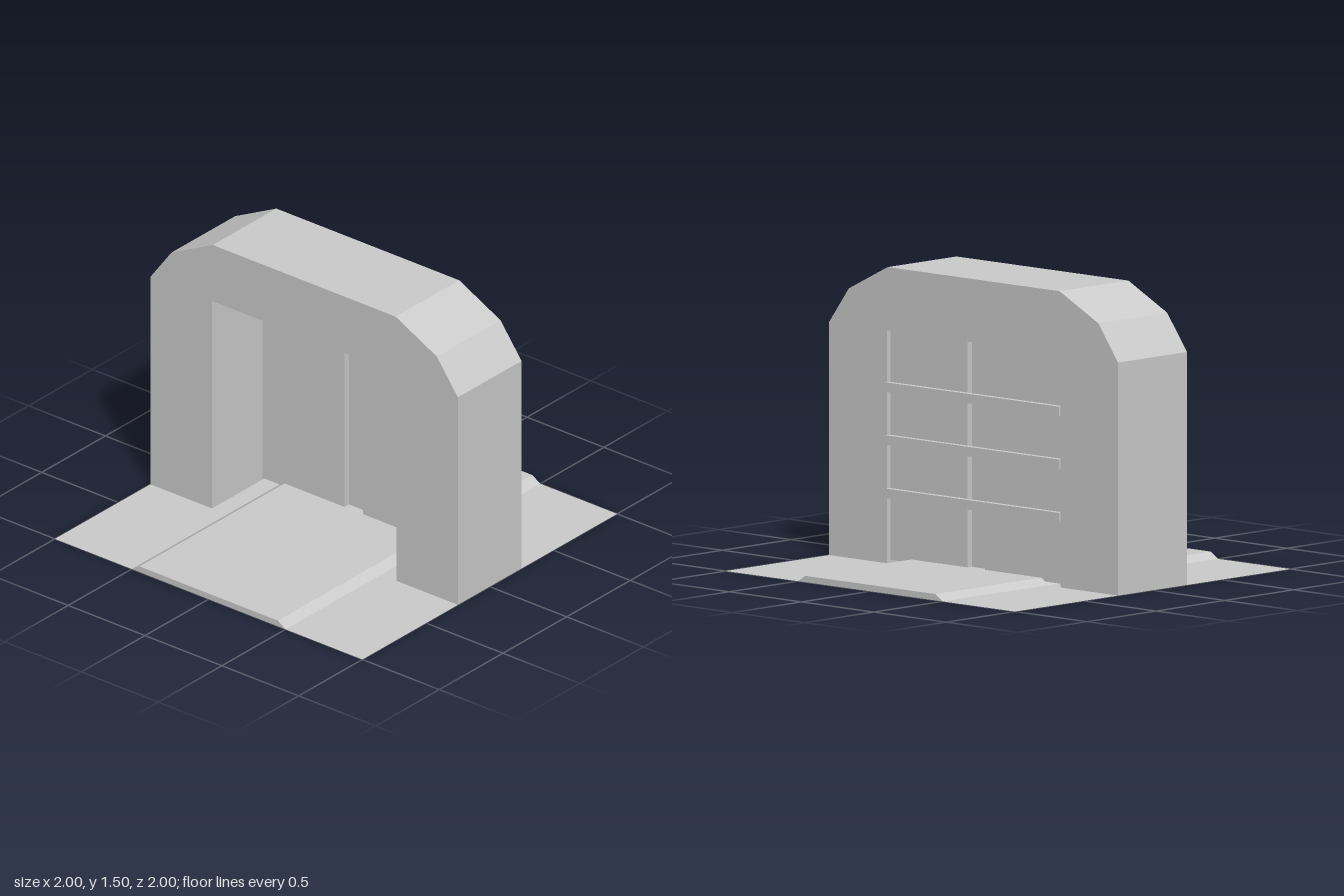
import * as THREE from 'three';

const material = new THREE.MeshStandardMaterial({ color: 0xcccccc, flatShading: true });
const sheetMaterial = new THREE.MeshStandardMaterial({ color: 0xcccccc, flatShading: true, side: THREE.DoubleSide });

export function createModel() {
  const model = new THREE.Group();
  model.name = 'gateway';

  const add = (name, geometry, mat = material) => {
    const mesh = new THREE.Mesh(geometry, mat);
    mesh.name = name;
    model.add(mesh);
    return mesh;
  };

  // Extrudes an x-y outline along z, centred on z = 0
  const extrude = (name, points, depth) => {
    const shape = new THREE.Shape(points.map(([x, y]) => new THREE.Vector2(x, y)));
    const geometry = new THREE.ExtrudeGeometry(shape, { depth, bevelEnabled: false });
    return add(name, geometry.translate(0, 0, -depth / 2));
  };

  // Box given by its lower and upper corners
  const box = (name, [x0, y0, z0], [x1, y1, z1]) => {
    const geometry = new THREE.BoxGeometry(x1 - x0, y1 - y0, z1 - z0);
    return add(name, geometry.translate((x0 + x1) / 2, (y0 + y1) / 2, (z0 + z1) / 2));
  };

  // Flat ground and the raised roadway with sloping sides
  add('ground', new THREE.PlaneGeometry(2, 2).rotateX(-Math.PI / 2), sheetMaterial);
  extrude('roadway', [[-0.5, 0], [0.5, 0], [0.45, 0.032], [-0.45, 0.032]], 2);

  // Thick wall with chamfered shoulders and a square opening
  const halfWall = [[0.6, 0], [1, 0], [1, 1.18], [0.863, 1.365], [0.595, 1.5]];
  const mirrored = halfWall.map(([x, y]) => [-x, y]).reverse();
  extrude('archWall', [[0.6, 1.18], ...halfWall, ...mirrored, [-0.6, 1.18]], 0.5);

  // Two door leaves with a recessed strip between them
  box('leftDoorLeaf', [0.06, 0.015, -0.23], [0.595, 1.18, -0.14]);
  box('rightDoorLeaf', [-0.595, 0.015, -0.23], [-0.06, 1.18, -0.14]);
  box('doorCentreStrip', [-0.06, 0.015, -0.2], [0.06, 1.18, -0.175]);

  // Locking bars across the back
  for (const y of [0.355, 0.625, 0.893]) {
    box('lockingBar', [-0.6, y - 0.024, -0.26], [0.6, y + 0.024, -0.23]);
  }

  return model;
}
